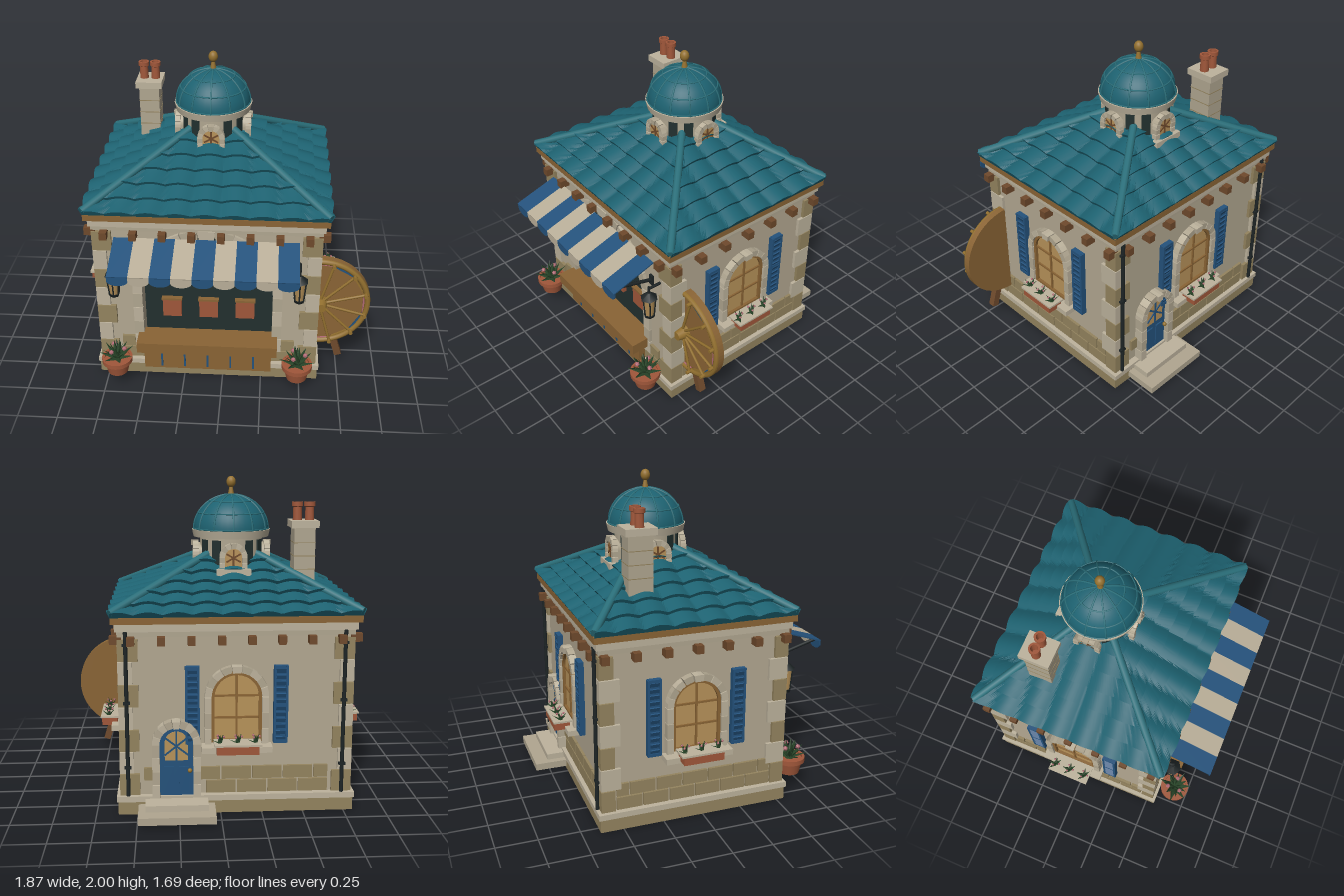
import * as THREE from 'three';
import { toCreasedNormals } from 'three/addons/utils/BufferGeometryUtils.js';

const C = {
  wall: 0xb3a891, stone: 0xb0a690, pale: 0xbdb39d, tan: 0x94845f, teal: 0x1d6271, ridge: 0x2a6f7a, dark: 0x22302f,
  wood: 0x8a6435, brown: 0x6f4a2c, blue: 0x24527c, cream: 0xb9ae98, clay: 0xa0573a, glass: 0xb8935a, gold: 0x93702f,
  iron: 0x1e2526, leaf: 0x2c4a2c, pink: 0xb06a74,
};
const CX = -0.095, CZ = -0.045, AZ = -0.115; // building centre, dome axis
const mats = {};
const mat = (c) => (mats[c] ??= new THREE.MeshStandardMaterial({ color: C[c], side: THREE.DoubleSide }));

function add(parent, name, geo, color, x = 0, y = 0, z = 0, rx = 0, ry = 0, rz = 0) {
  const m = new THREE.Mesh(geo, mat(color));
  m.name = name;
  m.position.set(x, y, z);
  m.rotation.set(rx, ry, rz, 'YXZ');
  parent.add(m);
  return m;
}
function group(parent, name, x = 0, y = 0, z = 0, ry = 0) {
  const g = new THREE.Group();
  g.name = name;
  g.position.set(x, y, z);
  g.rotation.y = ry;
  parent.add(g);
  return g;
}
const box = (w, h, d) => new THREE.BoxGeometry(w, h, d);
const cyl = (a, b, h, n = 16) => new THREE.CylinderGeometry(a, b, h, n);
const extrude = (shape, depth) => new THREE.ExtrudeGeometry(shape, { depth, bevelEnabled: false, curveSegments: 20 });
function rod(parent, name, a, b, r, color, n = 8) {
  const p = new THREE.Vector3(...a), d = new THREE.Vector3(...b).sub(p);
  const m = add(parent, name, cyl(r, r, d.length(), n), color);
  m.position.copy(p).addScaledVector(d, 0.5);
  m.quaternion.setFromUnitVectors(new THREE.Vector3(0, 1, 0), d.normalize());
}
function archShape(hw, y0, spring, ry, Kind = THREE.Shape) {
  const s = new Kind();
  s.moveTo(-hw, y0); s.lineTo(hw, y0); s.lineTo(hw, spring);
  s.absellipse(0, spring, hw, ry, 0, Math.PI, false);
  s.closePath();
  return s;
}
// Separate stones round an arch, with stacked jamb blocks
function archStones(g, hw, y0, spring, ry, t, n, jambs, depth) {
  for (let i = 0; i < n; i++) {
    const a = (i + 0.04) / n * Math.PI, b = (i + 0.96) / n * Math.PI;
    const at = (q, k) => new THREE.Vector2(Math.cos(q) * (hw + k), spring + Math.sin(q) * (ry + k));
    const s = new THREE.Shape([at(a, 0), at(a, t), at((a + b) / 2, t), at(b, t), at(b, 0), at((a + b) / 2, 0)]);
    add(g, 'archStone', extrude(s, i === (n - 1) / 2 ? depth * 1.3 : depth), i % 2 ? 'stone' : 'pale');
  }
  const h = (spring - y0) / jambs;
  for (const sx of [-1, 1]) for (let j = 0; j < jambs; j++)
    add(g, 'jambStone', box(t, h - 0.005, depth), j % 2 ? 'stone' : 'pale', sx * (hw + t / 2), y0 + h * (j + 0.5), depth / 2);
}
// Tuft of pointed leaves with a few blossoms
function plant(parent, x, y, z, size, n, blossoms) {
  const g = group(parent, 'plant', x, y, z);
  const geo = new THREE.ConeGeometry(size * 0.22, size, 4).translate(0, size / 2, 0).scale(1, 1, 0.3);
  for (let i = 0; i < n; i++) add(g, 'leaf', geo, 'leaf', 0, 0, 0, 0.35 + (i % 3) * 0.4, i * 2.4);
  for (let i = 0; i < blossoms; i++)
    add(g, 'blossom', new THREE.IcosahedronGeometry(size * 0.13, 0), 'pink', Math.cos(i * 2.1) * size * 0.4, size * 0.65, Math.sin(i * 2.1) * size * 0.4);
}
function windowUnit(parent, name, x, z, ry) {
  const g = group(parent, name, x, 0, z, ry);
  add(g, 'glass', extrude(archShape(0.15, 0.45, 0.73, 0.15), 0.012), 'glass');
  const ring = archShape(0.15, 0.45, 0.73, 0.15);
  ring.holes.push(archShape(0.132, 0.465, 0.73, 0.132, THREE.Path));
  add(g, 'windowFrame', extrude(ring, 0.03), 'wood');
  add(g, 'mullion', box(0.012, 0.41, 0.02), 'wood', 0, 0.665, 0.012);
  for (const y of [0.6, 0.735]) add(g, 'glazingBar', box(0.28, 0.012, 0.02), 'wood', 0, y, 0.012);
  archStones(g, 0.15, 0.44, 0.73, 0.15, 0.04, 9, 3, 0.045);
  for (const s of [-1, 1]) {
    const sh = group(g, 'shutter', s * 0.263, 0.678, 0.02);
    add(sh, 'shutterBack', box(0.07, 0.46, 0.015), 'blue');
    for (const e of [-1, 1]) add(sh, 'stile', box(0.014, 0.475, 0.035), 'blue', e * 0.036);
    for (let i = 0; i < 12; i++) add(sh, 'louvre', box(0.06, 0.028, 0.008), 'blue', 0, -0.21 + i * 0.038, 0.01, 0.4);
    for (const y of [-0.229, 0, 0.229]) add(sh, 'rail', box(0.07, 0.02, 0.033), 'blue', 0, y);
  }
  add(g, 'sill', box(0.42, 0.035, 0.09), 'pale', 0, 0.417, 0.045);
  add(g, 'flowerBox', box(0.25, 0.055, 0.1), 'clay', 0, 0.44, 0.105);
  add(g, 'flowerBoxRim', box(0.28, 0.012, 0.115), 'pale', 0, 0.469, 0.105);
  for (const px of [-0.105, 0, 0.105]) plant(g, px, 0.472, 0.11, 0.06, 7, 3);
}
// One roof slope: barrel-tile columns with stepped courses
function roofFace(A, B, P, axis) {
  const N = new THREE.Vector3().crossVectors(B.clone().sub(A), P.clone().sub(A)).normalize();
  const rows = 6, n = 110, pos = [], idx = [];
  for (let r = 0; r < rows; r++) {
    const t0 = r / rows * 0.85, t1 = (r + 1) / rows * 0.85;
    const levels = [[t0, 0, 0], [t0, 1, 0.022], [(t0 + t1) / 2, 1, 0.011], [t1, 1, 0]];
    levels.forEach(([t, k, lift], l) => {
      for (let i = 0; i <= n; i++) {
        const p = A.clone().lerp(B, i / n).lerp(P, t);
        const bump = 0.024 * Math.abs(Math.cos((p[axis] - P[axis]) / 0.172 * Math.PI));
        p.addScaledVector(N, k * bump + lift);
        if (i < n && l < 3) {
          const a = pos.length / 3, b = a + n + 1;
          idx.push(a, a + 1, b + 1, a, b + 1, b);
        }
        pos.push(p.x, p.y, p.z);
      }
    });
  }
  const geo = new THREE.BufferGeometry();
  geo.setAttribute('position', new THREE.Float32BufferAttribute(pos, 3));
  geo.setIndex(idx);
  return toCreasedNormals(geo, 0.6);
}

export function createModel() {
  const root = new THREE.Group();
  root.name = 'kiosk';
  const mid = group(root, 'building', CX, 0, CZ);

  // Plinth, walls and cornice
  add(mid, 'plinth', box(1.424, 0.085, 1.19), 'tan', 0, 0.0425);
  add(mid, 'plinthLip', box(1.44, 0.035, 1.21), 'pale', 0, 0.1);
  add(mid, 'walls', box(1.36, 1, 1.03), 'wall', 0, 0.61, -0.05);
  const front = new THREE.Shape([[-0.68, 0.11], [0.68, 0.11], [0.68, 1.11], [-0.68, 1.11]].map((p) => new THREE.Vector2(...p)));
  front.holes.push(archShape(0.41, 0.15, 0.63, 0.42, THREE.Path));
  add(mid, 'frontWall', extrude(front, 0.1), 'wall', 0, 0, 0.465);
  add(mid, 'nicheBack', extrude(archShape(0.41, 0.15, 0.63, 0.42), 0.008), 'dark', 0, 0, 0.466);
  const stones = group(mid, 'openingSurround', 0, 0, 0.555);
  archStones(stones, 0.41, 0.2, 0.63, 0.42, 0.06, 13, 4, 0.03);
  add(mid, 'cornice', box(1.4, 0.04, 1.17), 'stone', 0, 1.115);
  add(mid, 'corniceTop', box(1.425, 0.045, 1.2), 'pale', 0, 1.15);
  add(mid, 'fascia', box(1.47, 0.04, 1.235), 'wood', 0, 1.195);

  // Brackets, wainscot and corner stones
  const sides = [[0, 0.565, 0.62, 8], [Math.PI, 0.565, 0.62, 8], [Math.PI / 2, 0.68, 0.555, 7], [-Math.PI / 2, 0.68, 0.555, 7]];
  sides.forEach(([ry, dist, half, n], f) => {
    const g = group(mid, 'wallTrim', 0, 0, 0, ry);
    for (let i = 0; i < n; i++)
      add(g, 'bracket', box(0.045, 0.05, 0.07), 'brown', -half + 2 * half * i / (n - 1), 1.075, dist + 0.03);
    const w = half - 0.06, count = 6;
    for (let r = 0; r < 2; r++) for (let i = 0; i < count + r; i++) {
      const step = 2 * w / count, a = Math.max(-w, -w + step * (i - r / 2)), b = Math.min(w, -w + step * (i + 1 - r / 2));
      const m = (a + b) / 2;
      if (f === 0 && Math.abs(m) < 0.4) continue;
      if (f === 1 && Math.abs(m + 0.36) < 0.12) continue;
      add(g, 'wainscotStone', box(b - a - 0.01, 0.078, 0.03), 'tan', m, 0.163 + r * 0.087, dist + 0.002);
    }
  });
  for (const sx of [-1, 1]) for (const sz of [-1, 1]) for (let i = 0; i < 7; i++) {
    const w = i % 2 ? 0.085 : 0.12, d = i % 2 ? 0.12 : 0.085;
    add(mid, 'cornerStone', box(w, 0.132, d), i % 2 ? 'pale' : 'tan', sx * (0.7 - w / 2), 0.186 + i * 0.138, sz * (0.585 - d / 2));
  }
  for (const x of [-0.64, 0.65]) {
    rod(mid, 'downpipe', [x, 0.12, -0.595], [x, 1.13, -0.595], 0.012, 'iron');
    for (const y of [0.3, 0.7, 1.05]) add(mid, 'pipeClip', box(0.04, 0.015, 0.03), 'iron', x, y, -0.59);
  }

  // Tiled roof with hip ridges
  const P = new THREE.Vector3(CX, 1.575, AZ);
  const K = [[-1, 1], [1, 1], [1, -1], [-1, -1]].map(([a, b]) => new THREE.Vector3(CX + a * 0.735, 1.213, CZ + b * 0.615));
  K.forEach((a, i) => {
    add(root, 'roofSlope', roofFace(a, K[(i + 1) % 4], P, i % 2 ? 'z' : 'x'), 'teal');
    const s = a.clone(), e = a.clone().lerp(P, 0.85);
    rod(root, 'hipRidge', [s.x, s.y + 0.028, s.z], [e.x, e.y + 0.028, e.z], 0.024, 'ridge', 10);
  });

  // Drum, dormers, dome and finial
  const tower = group(root, 'tower', CX, 0, AZ);
  add(tower, 'drum', cyl(0.195, 0.195, 0.26, 32), 'stone', 0, 1.51);
  for (let i = 0; i < 4; i++) {
    const turn = i * Math.PI / 2;
    for (const o of [-0.25, 0.25]) {
      const q = turn + Math.PI / 4 + o;
      add(tower, 'drumPanel', box(0.055, 0.15, 0.02), 'dark', Math.sin(q) * 0.19, 1.54, Math.cos(q) * 0.19, 0, q);
    }
    const d = group(tower, 'dormer', 0, 0, 0, turn);
    add(d, 'dormerBody', extrude(archShape(0.07, 1.42, 1.52, 0.07), 0.12), 'stone', 0, 0, 0.1);
    add(d, 'dormerGlass', extrude(archShape(0.052, 1.46, 1.52, 0.052), 0.01), 'glass', 0, 0, 0.218);
    for (const a of [0, 1.05, -1.05]) add(d, 'dormerBar', box(0.01, 0.1, 0.012), 'brown', 0, 1.515, 0.226, 0, 0, a);
    const st = group(d, 'dormerArch', 0, 0, 0.205);
    archStones(st, 0.052, 1.45, 1.52, 0.052, 0.033, 7, 2, 0.035);
    add(d, 'dormerSill', box(0.21, 0.05, 0.1), 'pale', 0, 1.425, 0.215);
  }
  add(tower, 'drumCornice', cyl(0.245, 0.235, 0.045, 40), 'pale', 0, 1.652);
  const dome = group(tower, 'dome', 0, 1.672, 0);
  dome.scale.y = 0.92;
  add(dome, 'domeShell', new THREE.SphereGeometry(0.233, 40, 16, 0, Math.PI * 2, 0, Math.PI / 2), 'teal');
  for (let i = 0; i < 6; i++) add(dome, 'domeRib', new THREE.TorusGeometry(0.234, 0.006, 6, 32, Math.PI), 'ridge', 0, 0, 0, 0, i * Math.PI / 6);
  for (const a of [0.03, 0.5, 0.95])
    add(dome, 'domeBand', new THREE.TorusGeometry(0.234 * Math.cos(a), 0.005, 6, 40), 'ridge', 0, 0.234 * Math.sin(a), 0, Math.PI / 2);
  add(tower, 'finialStem', cyl(0.01, 0.022, 0.06, 12), 'gold', 0, 1.905);
  add(tower, 'finialBall', new THREE.SphereGeometry(0.029, 16, 12), 'gold', 0, 1.964).scale.y = 1.22;

  // Chimney
  const ch = group(root, 'chimney', -0.521, 0, -0.31);
  add(ch, 'stack', box(0.128, 0.38, 0.15), 'stone', 0, 1.51);
  for (const y of [1.45, 1.53, 1.61]) add(ch, 'stackJoint', box(0.132, 0.005, 0.154), 'tan', 0, y);
  add(ch, 'chimneyCap', box(0.168, 0.042, 0.19), 'pale', 0, 1.72);
  const potLine = [[0.028, 0], [0.026, 0.08], [0.034, 0.085], [0.034, 0.11], [0.022, 0.11], [0.02, 0.03], [0, 0.03]].map((p) => new THREE.Vector2(...p));
  for (const x of [-0.037, 0.037]) add(ch, 'chimneyPot', toCreasedNormals(new THREE.LatheGeometry(potLine, 20), 0.6), 'clay', x, 1.74);

  // Windows and back door
  windowUnit(root, 'leftWindow', CX + 0.68, CZ, Math.PI / 2);
  windowUnit(root, 'rightWindow', CX - 0.68, CZ, -Math.PI / 2);
  windowUnit(root, 'backWindow', CX, CZ - 0.565, Math.PI);
  const door = group(root, 'backDoor', 0.265, 0, CZ - 0.565, Math.PI);
  add(door, 'doorLeaf', extrude(archShape(0.1, 0.1, 0.45, 0.1), 0.025), 'blue');
  add(door, 'doorGlass', extrude(archShape(0.07, 0.34, 0.45, 0.07), 0.03), 'glass');
  for (const a of [0, 0.9, -0.9]) add(door, 'doorBar', box(0.01, 0.18, 0.012), 'blue', 0, 0.43, 0.03, 0, 0, a);
  for (const x of [-0.045, 0.045]) add(door, 'doorPanel', box(0.06, 0.16, 0.015), 'blue', x, 0.22, 0.026);
  add(door, 'doorKnob', new THREE.SphereGeometry(0.014, 10, 8), 'gold', 0.08, 0.28, 0.045);
  archStones(door, 0.1, 0.11, 0.45, 0.1, 0.045, 9, 4, 0.06);
  add(door, 'lowerStep', box(0.46, 0.045, 0.24), 'stone', 0, 0.042, 0.115);
  add(door, 'upperStep', box(0.375, 0.04, 0.16), 'pale', 0, 0.083, 0.07);

  // Serving counter and hanging boards
  const cz = 0.52, counter = group(root, 'counter', CX, 0, cz);
  add(counter, 'counterBody', box(0.82, 0.18, 0.12), 'wood', 0, 0.165, 0.005);
  add(counter, 'counterTop', box(0.89, 0.075, 0.17), 'wood', 0, 0.288, 0.05);
  for (let i = 0; i < 5; i++) add(counter, 'counterStrip', box(0.012, 0.15, 0.01), 'blue', (i - 2) * 0.148, 0.17, 0.065);
  for (const x of [-0.235, 0, 0.235]) {
    add(counter, 'board', box(0.12, 0.13, 0.03), 'clay', x, 0.465, -0.08);
    add(counter, 'boardTop', box(0.132, 0.014, 0.04), 'wood', x, 0.535, -0.08);
  }

  // Striped awning with scalloped valance and arms
  const awning = group(root, 'awning', CX, 0, 0);
  const sw = 1.118 / 9, tilt = Math.atan2(0.09, 0.285);
  for (let i = 0; i < 9; i++) {
    const x = (i - 4) * sw, color = i % 2 ? 'cream' : 'blue';
    add(awning, 'awningStripe', box(sw, 0.008, 0.299), color, x, 1.01, 0.7, tilt);
    const s = new THREE.Shape();
    s.moveTo(sw / 2, 0); s.lineTo(-sw / 2, 0); s.lineTo(-sw / 2, -0.028);
    s.absellipse(0, -0.028, sw / 2, 0.034, Math.PI, Math.PI * 2, false);
    add(awning, 'valance', extrude(s, 0.008), color, x, 0.967, 0.834);
  }
  for (const x of [-0.495, 0.495]) {
    rod(awning, 'awningArm', [x, 0.865, 0.53], [x, 0.955, 0.835], 0.011, 'iron');
    add(awning, 'armPlate', box(0.03, 0.07, 0.015), 'iron', x, 0.865, 0.53);
  }

  // Lanterns and potted plants, mirrored
  for (const s of [-1, 1]) {
    const l = group(root, 'lantern', CX + s * 0.57, 0, 0.605);
    rod(l, 'lanternBracket', [0, 0.885, -0.085], [0, 0.885, 0], 0.009, 'iron');
    rod(l, 'lanternHook', [0, 0.84, 0], [0, 0.9, 0], 0.007, 'iron');
    add(l, 'lanternRoof', cyl(0.012, 0.055, 0.04, 6), 'iron', 0, 0.835);
    add(l, 'lanternGlass', cyl(0.042, 0.03, 0.135, 6), 'glass', 0, 0.748);
    add(l, 'lanternBase', cyl(0.038, 0.03, 0.02, 6), 'iron', 0, 0.673);
    for (let i = 0; i < 6; i++) {
      const a = i * Math.PI / 3, q = [Math.sin(a), Math.cos(a)];
      rod(l, 'lanternBar', [q[0] * 0.031, 0.68, q[1] * 0.031], [q[0] * 0.043, 0.816, q[1] * 0.043], 0.005, 'iron', 5);
    }
    const p = group(root, 'pottedPlant', CX + s * 0.575, 0, 0.655);
    const line = [[0, 0.105], [0.065, 0.105], [0.082, 0.185], [0.097, 0.185], [0.097, 0.215], [0.08, 0.215], [0.08, 0.2], [0, 0.2]];
    add(p, 'pot', toCreasedNormals(new THREE.LatheGeometry(line.map((v) => new THREE.Vector2(...v)), 24), 0.5), 'clay');
    plant(p, 0, 0.2, 0, 0.125, 20, 4);
  }

  // Half wheel with coloured segments beside the left wall
  const wheel = group(root, 'wheel', 0.61, 0.545, 0.395);
  const sector = (r, a, b) => {
    const s = new THREE.Shape();
    s.moveTo(0, 0); s.absarc(0, 0, r, a, b, false); s.closePath();
    return s;
  };
  const H = Math.PI / 2, U = Math.PI / 6;
  add(wheel, 'wheelDisc', extrude(sector(0.322, -H, H), 0.042), 'wood');
  for (let k = -3; k <= 3; k++)
    add(wheel, 'segment', extrude(sector(0.285, Math.max(-H, (k - 0.5) * U), Math.min(H, (k + 0.5) * U)), 0.012), ['pink', 'gold', 'blue'][(k + 3) % 3], 0, 0, 0.04);
  add(wheel, 'wheelRim', new THREE.TorusGeometry(0.305, 0.018, 8, 40, Math.PI), 'gold', 0, 0, 0.045, 0, 0, -H);
  for (let k = -2.5; k <= 2.5; k++) {
    const c = Math.cos(k * U), s = Math.sin(k * U);
    rod(wheel, 'spoke', [0, 0, 0.065], [c * 0.3, s * 0.3, 0.065], 0.009, 'gold');
    rod(wheel, 'peg', [c * 0.3, s * 0.3, 0.04], [c * 0.3, s * 0.3, 0.09], 0.012, 'gold');
  }
  add(wheel, 'hub', cyl(0.03, 0.045, 0.075, 20), 'gold', 0.01, 0, 0.08, Math.PI / 2);
  add(wheel, 'wheelLeg', box(0.045, 0.17, 0.045), 'brown', 0.12, -0.345, 0.025, 0, 0, 0.3);
  return root;
}
